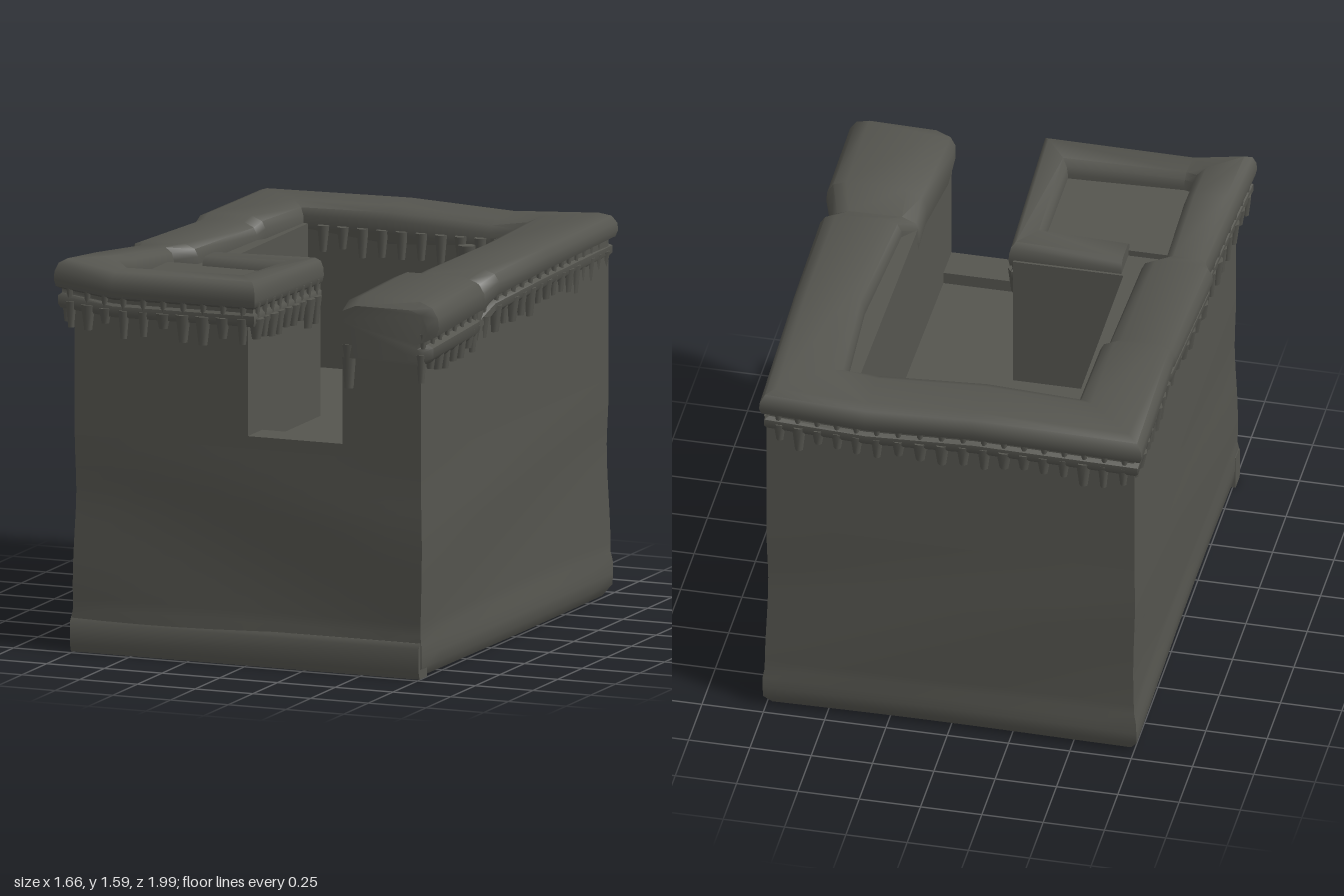
import * as THREE from 'three';
import { toCreasedNormals, mergeGeometries } from 'three/addons/utils/BufferGeometryUtils.js';

const stone = new THREE.MeshStandardMaterial({ color: 0x55554f });
stone.name = 'dark stone';

let seed = 7;
const rand = () => (seed = (seed * 16807) % 2147483647) / 2147483647;

// Parapet stations: inner x, inner z, outer x, outer z, top height, vertical stretch
const stations = [
  [0.40, 0.99, 0.79, 0.99, 1.50, 1.25],
  [0.39, 0.90, 0.83, 0.97, 1.53, 1.35],
  [0.41, 0.50, 0.82, 0.50, 1.55, 1.35],
  [0.41, 0.37, 0.77, 0.36, 1.51, 1.2],
  [0.47, 0.30, 0.80, 0.28, 1.54, 1.0],
  [0.50, -0.25, 0.79, -0.25, 1.55, 1.0],
  [0.47, -0.72, 0.77, -0.99, 1.55, 1.0],
  [0.34, -0.70, 0.34, -0.99, 1.53, 1.0],
  [-0.10, -0.69, -0.10, -0.99, 1.55, 1.0],
  [-0.47, -0.70, -0.79, -0.99, 1.54, 1.0],
  [-0.48, -0.34, -0.78, -0.33, 1.55, 1.0],
  [-0.50, -0.30, -0.78, -0.29, 1.53, 1.0],
  [-0.52, 0.25, -0.81, 0.26, 1.54, 1.0],
  [-0.60, 0.31, -0.78, 0.31, 1.53, 1.0],
  [-0.60, 0.68, -0.81, 0.70, 1.57, 1.05],
  [-0.61, 0.81, -0.83, 0.99, 1.59, 1.1],
  [-0.57, 0.82, -0.58, 0.99, 1.55, 1.0],
  [-0.10, 0.80, 0.04, 0.99, 1.555, 1.0],
  [-0.10, 0.40, 0.02, 0.24, 1.53, 1.0],
  [-0.44, 0.40, -0.44, 0.24, 1.52, 1.0],
];

// Moulding section: fraction from inner to outer edge, height
const profile = [
  [0.05, 1.38], [0.90, 1.37], [0.94, 1.385], [0.94, 1.415], [0.88, 1.425], [0.88, 1.44],
  [0.97, 1.45], [1.0, 1.475], [0.99, 1.505], [0.93, 1.535], [0.8, 1.55],
  [0.2, 1.55], [0.05, 1.53], [0, 1.50], [0, 1.45],
];

function pointOn(s, t, y) {
  return [s[0] + (s[2] - s[0]) * t, s[4] - (1.55 - y) * s[5], s[1] + (s[3] - s[1]) * t];
}

function parapetGeometry() {
  const pos = [], idx = [], n = profile.length;
  for (const s of stations) for (const [t, y] of profile) pos.push(...pointOn(s, t, y));
  for (let i = 0; i < stations.length - 1; i++) {
    for (let j = 0; j < n; j++) {
      const a = i * n + j, b = i * n + (j + 1) % n;
      idx.push(a, a + n, b, b, a + n, b + n);
    }
  }
  const caps = THREE.ShapeUtils.triangulateShape(profile.map(p => new THREE.Vector2(...p)), []);
  const last = (stations.length - 1) * n;
  for (const [a, b, c] of caps) idx.push(a, b, c, last + a, last + c, last + b);
  const g = new THREE.BufferGeometry();
  g.setAttribute('position', new THREE.Float32BufferAttribute(pos, 3));
  g.setIndex(idx);
  return toCreasedNormals(g, 0.75);
}

// Lower block: worn faces, slightly flared foot with a rounded bottom edge
function bodyGeometry(h) {
  const g = new THREE.BoxGeometry(1.5, h, 1.905, 10, 20, 10).translate(0, h / 2, 0.0125);
  const p = g.attributes.position;
  for (let i = 0; i < p.count; i++) {
    const x = p.getX(i), y = p.getY(i), z = p.getZ(i);
    const fade = Math.min(1, (h - y) * 4);
    let out = 0.006 * fade * Math.sin(7 * y + 3 * x + 2 * z);
    if (y < 0.14) out += 0.008;
    if (y < 0.001) out -= 0.03;
    p.setXYZ(i, x * (1 + out / 0.75), y, z * (1 + out / 0.95));
  }
  return toCreasedNormals(g, 0.8);
}

// Walls around the courtyard, open at the front gap
function wallGeometry(y0, y1) {
  const outline = [
    [0.75, 0.965], [0.75, -0.94], [-0.75, -0.94], [-0.75, 0.965], [0, 0.965], [0, 0.23],
    [-0.45, 0.23], [-0.45, -0.70], [0.43, -0.70], [0.41, 0.965],
  ];
  const shape = new THREE.Shape(outline.map(([x, z]) => new THREE.Vector2(x, -z)));
  return new THREE.ExtrudeGeometry(shape, { depth: y1 - y0, bevelEnabled: false })
    .rotateX(-Math.PI / 2).translate(0, y0, 0);
}

// One tapered hanging stone
function drip(x, y, z, r, len) {
  const g = new THREE.CylinderGeometry(r, r * 0.55, len, 7);
  return toCreasedNormals(g.translate(x, y - len / 2, z), 0.9);
}

// Rows of drips and small dentils below the moulding
function friezeGeometry() {
  const parts = [];
  for (let i = 0; i < stations.length - 1; i++) {
    const a = stations[i], b = stations[i + 1];
    const count = Math.round(Math.hypot(b[2] - a[2], b[3] - a[3]) / 0.085);
    for (let k = 0; k < count; k++) {
      const f = (k + 0.5) / count;
      const s = a.map((v, q) => v + (b[q] - v) * f);
      const [x, y, z] = pointOn(s, 0.87, 1.40);
      parts.push(drip(x, y, z, 0.022 + rand() * 0.012, 0.06 + rand() * 0.06));
      const [dx, dy, dz] = pointOn(s, 0.89, 1.465);
      parts.push(drip(dx, dy, dz, 0.017, 0.06));
    }
  }
  // Inner row on the back wall, and longer drips beside the gap
  for (let x = -0.38; x < 0.42; x += 0.085) parts.push(drip(x, 1.46, -0.69, 0.025, 0.08 + rand() * 0.06));
  parts.push(drip(0.25, 1.43, -0.68, 0.04, 0.24), drip(0.44, 1.34, 0.965, 0.035, 0.18));
  return mergeGeometries(parts);
}

export function createModel() {
  const group = new THREE.Group();
  const add = (name, geometry) => {
    const mesh = new THREE.Mesh(geometry, stone);
    mesh.name = name;
    group.add(mesh);
    return mesh;
  };
  const floorY = 0.88;
  add('body', bodyGeometry(floorY));
  add('walls', wallGeometry(floorY, 1.46));
  add('parapet', parapetGeometry());
  add('frieze', friezeGeometry());

  // Raised threshold at the gap
  add('threshold', new THREE.BoxGeometry(0.42, 0.05, 0.145).translate(0.205, floorY + 0.025, 0.8925));

  // Sunken floor of the corner turret
  add('turretFloor', new THREE.BoxGeometry(0.56, 0.04, 0.46).translate(-0.35, 1.465, 0.6));

  // Front plinth with softened edges
  const plinth = new THREE.Shape();
  plinth.moveTo(-0.9, 0).lineTo(-0.975, 0).lineTo(-0.985, 0.03).lineTo(-0.985, 0.125).lineTo(-0.97, 0.145).lineTo(-0.9, 0.145);
  add('plinth', toCreasedNormals(new THREE.ExtrudeGeometry(plinth, { depth: 1.51, bevelEnabled: false })
    .rotateY(Math.PI / 2).translate(-0.762, 0, 0), 0.9));
  return group;
}
